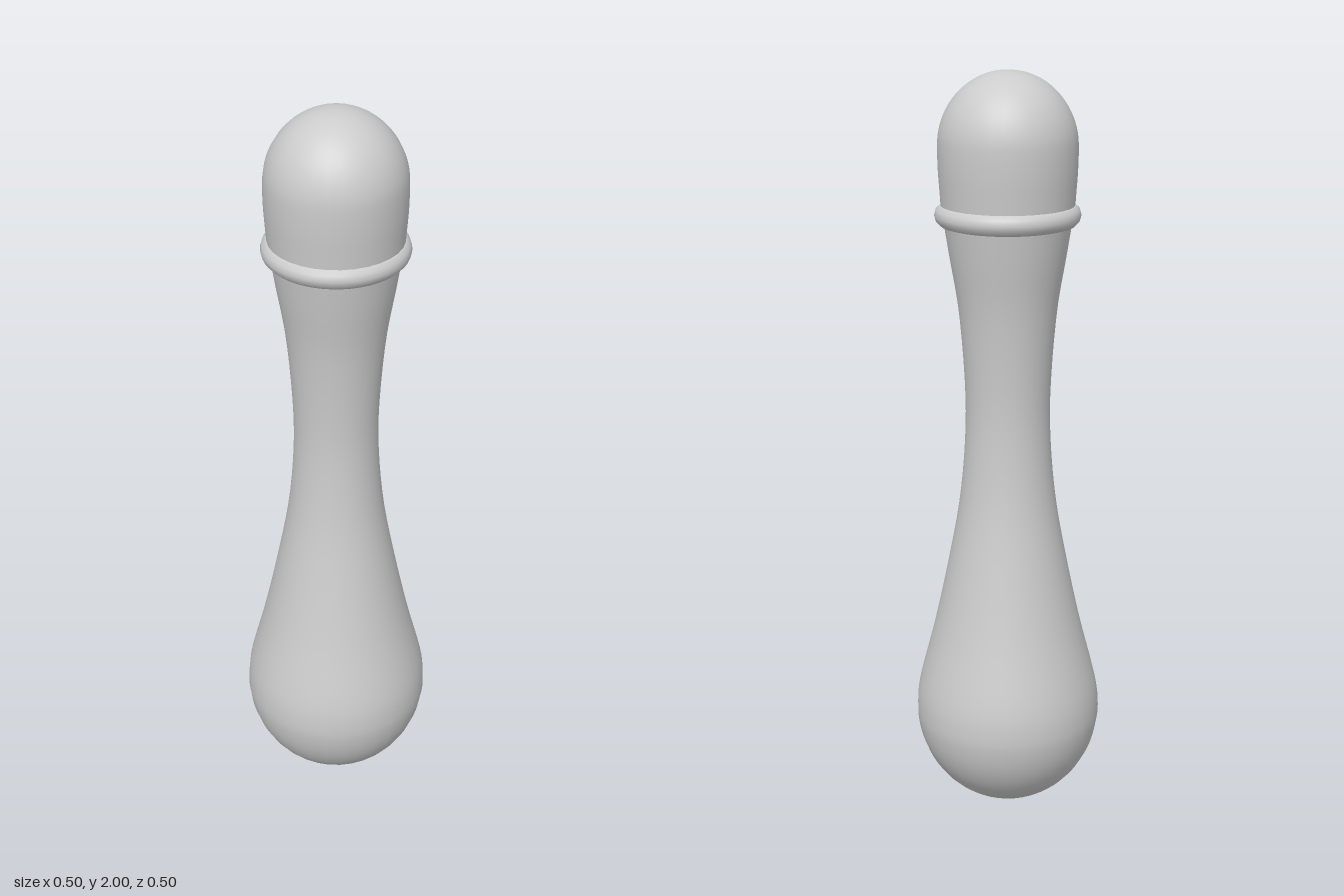
import * as THREE from 'three';

const SIDES = 32;

// Smooth surface of revolution through a few [radius, height] points
function turned(name, points, steps, material) {
  const curve = new THREE.SplineCurve(points.map(([r, y]) => new THREE.Vector2(r, y)));
  const profile = curve.getPoints(steps).map((p) => new THREE.Vector2(Math.max(p.x, 0), p.y));
  const mesh = new THREE.Mesh(new THREE.LatheGeometry(profile, SIDES), material);
  mesh.name = name;
  return mesh;
}

// Points along a quarter ellipse, from angle a0 to a1 in degrees
function arc(radius, height, centreY, a0, a1, count) {
  return Array.from({ length: count + 1 }, (_, i) => {
    const a = THREE.MathUtils.degToRad(a0 + ((a1 - a0) * i) / count);
    return [radius * Math.cos(a), centreY + height * Math.sin(a)];
  });
}

export function createModel() {
  const group = new THREE.Group();
  group.name = 'turnedHandle';
  const material = new THREE.MeshStandardMaterial({ color: 0xcccccc });

  // Bulbous grip with a slim waist, flaring up to the collar
  group.add(turned('grip', [
    ...arc(0.25, 0.27, 0.27, -90, 0, 8),
    [0.241, 0.35], [0.2, 0.51], [0.163, 0.68], [0.13, 0.86], [0.114, 1.03],
    [0.113, 1.18], [0.128, 1.38], [0.152, 1.53], [0.168, 1.63],
  ], 64, material));

  // Rounded cap, slightly narrower where it meets the collar
  group.add(turned('cap', [
    [0.17, 1.62], [0.175, 1.69], [0.179, 1.75],
    ...arc(0.18, 0.19, 1.81, 0, 90, 8),
  ], 44, material));

  // Collar ring
  const collar = new THREE.Mesh(new THREE.TorusGeometry(0.16, 0.029, 12, 48), material);
  collar.name = 'collar';
  collar.rotation.x = Math.PI / 2;
  collar.position.y = 1.635;
  group.add(collar);

  return group;
}
